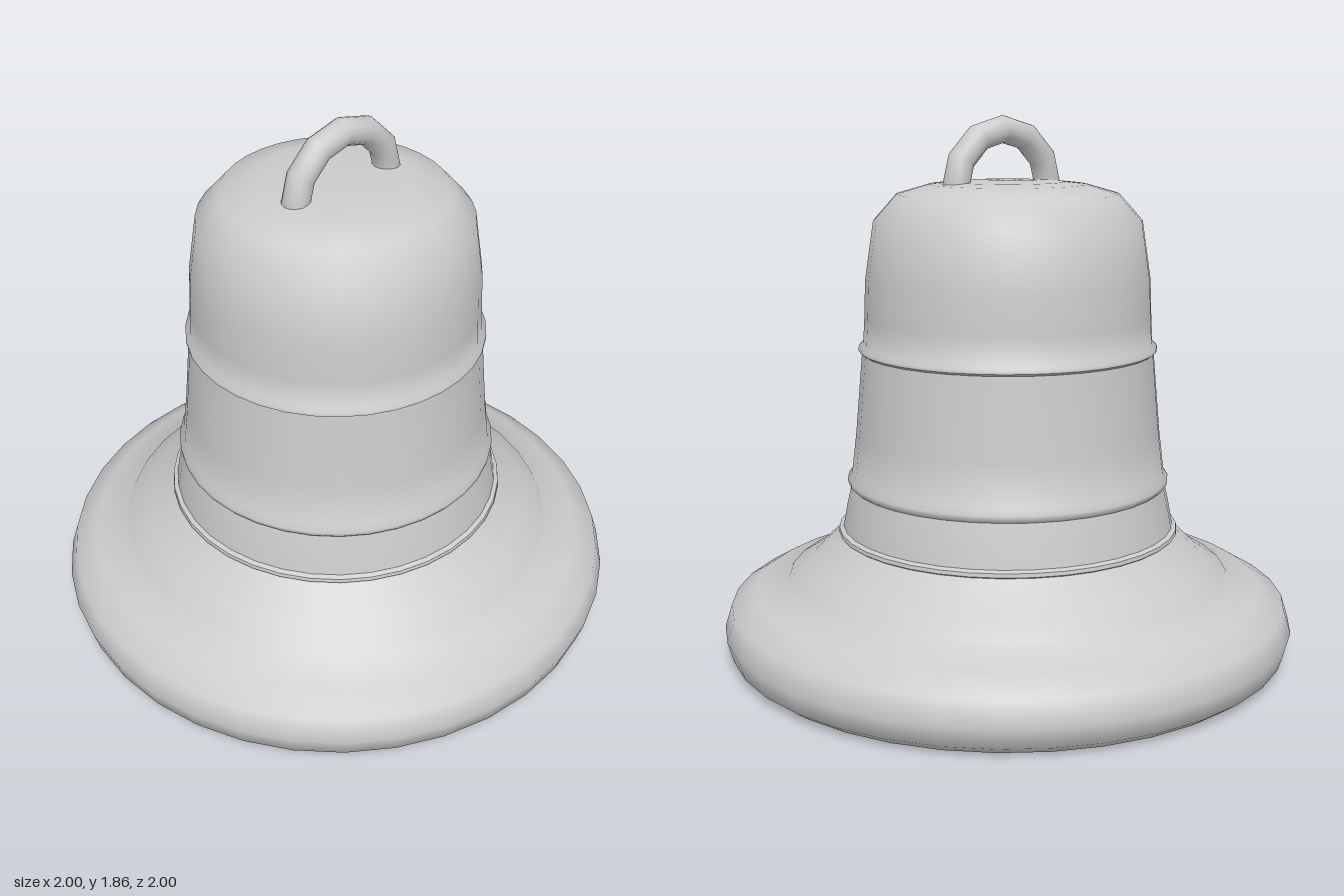
import * as THREE from 'three';
import { toCreasedNormals } from 'three/addons/utils/BufferGeometryUtils.js';

const material = new THREE.MeshStandardMaterial({ color: 0xcccccc, side: THREE.DoubleSide });

// Revolve a list of [radius, height] points around the y axis
function revolve(name, points) {
  const profile = points.map(([r, y]) => new THREE.Vector2(r, y));
  const geometry = toCreasedNormals(new THREE.LatheGeometry(profile, 36), 0.9);
  const mesh = new THREE.Mesh(geometry, material);
  mesh.name = name;
  return mesh;
}

export function createModel() {
  const bell = new THREE.Group();
  bell.name = 'bell';

  // Outer shell from the rolled rim up past the three raised bands to the crown
  bell.add(revolve('outerShell', [
    [0.9, 0], [0.94, 0], [0.98, 0.03], [1, 0.1], [0.975, 0.18], [0.89, 0.23], [0.78, 0.265],
    [0.77, 0.28], [0.69, 0.33], [0.59, 0.425],
    [0.597, 0.43], [0.595, 0.443], [0.58, 0.45], [0.565, 0.53], [0.55, 0.595],
    [0.56, 0.605], [0.562, 0.62], [0.547, 0.64], [0.53, 0.78], [0.505, 1.06],
    [0.516, 1.068], [0.516, 1.08], [0.5, 1.095], [0.495, 1.18], [0.49, 1.31],
    [0.46, 1.51], [0.38, 1.6], [0.27, 1.632], [0.19, 1.64], [0, 1.645],
  ]));

  // Hollow inside, following the shell with a thin wall
  bell.add(revolve('innerShell', [
    [0, 1.6], [0.26, 1.585], [0.35, 1.555], [0.42, 1.48], [0.45, 1.3], [0.46, 1.1],
    [0.475, 1.07], [0.465, 1.03], [0.49, 0.78], [0.505, 0.65], [0.52, 0.61], [0.51, 0.57],
    [0.54, 0.46], [0.55, 0.41], [0.65, 0.31], [0.74, 0.24], [0.86, 0.2],
    [0.92, 0.15], [0.93, 0.1], [0.92, 0.04], [0.9, 0],
  ]));

  // Half-ring hanging loop, slightly off centre
  const loop = new THREE.Mesh(new THREE.TorusGeometry(0.2, 0.047, 14, 6, Math.PI), material);
  loop.name = 'hangingLoop';
  loop.rotation.y = Math.PI / 2;
  loop.position.set(0.03, 1.615, 0);
  bell.add(loop);

  return bell;
}
